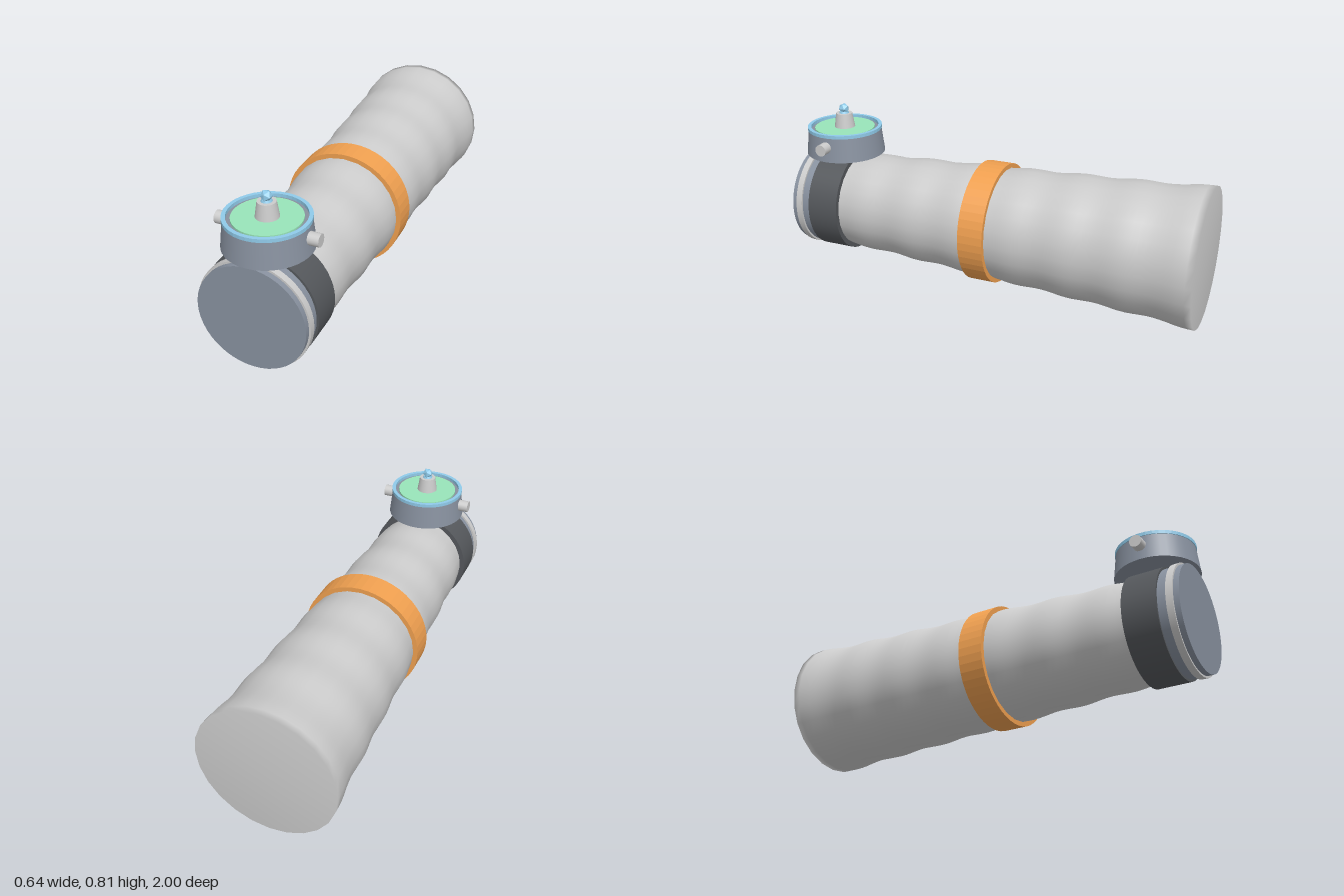
import * as THREE from 'three';

const AXIS_Y = 0.325, DIAL_Z = 0.81;
const material = (color) => new THREE.MeshStandardMaterial({ color });
const GREY = material(0xcccccc);
const STEEL = material(0x88919f);
const DARK = material(0x55585c);
const ORANGE = material(0xf0a050);
const BLUE = material(0x90cbea);
const GREEN = material(0x98e4b9);

export function createModel() {
  const model = new THREE.Group();
  model.name = 'handheldTorch';

  const add = (name, geometry, mat, x, y, z) => {
    const mesh = new THREE.Mesh(geometry, mat);
    mesh.name = name;
    mesh.position.set(x, y, z);
    model.add(mesh);
    return mesh;
  };

  // Round part lying along z, between two depths
  const band = (name, radius, z0, z1, mat, sides = 48) =>
    add(name, new THREE.CylinderGeometry(radius, radius, z1 - z0, sides)
      .rotateX(Math.PI / 2), mat, 0, AXIS_Y, (z0 + z1) / 2);

  // Upright round part on the dial, between two heights
  const upright = (name, rTop, rBottom, y0, y1, mat, sides = 32) =>
    add(name, new THREE.CylinderGeometry(rTop, rBottom, y1 - y0, sides),
      mat, 0, (y0 + y1) / 2, DIAL_Z);

  // Tapered body with gentle waves and a closed, softly shaded back end
  const profile = [new THREE.Vector2(0, -1)];
  for (let i = 0; i <= 56; i++) {
    const z = -1 + 1.76 * i / 56;
    const flare = 0.008 * Math.max(0, (-0.88 - z) / 0.12);
    const wave = 0.004 * Math.cos((z - 0.63) / 0.26 * Math.PI * 2);
    profile.push(new THREE.Vector2(0.231 + (0.73 - z) * 0.048 + wave + flare, z));
  }
  add('body', new THREE.LatheGeometry(profile, 24).rotateX(Math.PI / 2), GREY, 0, AXIS_Y, 0);

  // Clamp around the middle: a rectangular section turned into a ring
  const section = [[0.255, -0.06], [0.286, -0.06], [0.286, 0.06], [0.255, 0.06], [0.255, -0.06]];
  const clamp = new THREE.LatheGeometry(section.map(([r, z]) => new THREE.Vector2(r, z)), 48)
    .rotateX(Math.PI / 2).toNonIndexed();
  clamp.computeVertexNormals();
  add('clampRing', clamp, ORANGE, 0, AXIS_Y, 0.015);

  // Front head
  band('headGrip', 0.25, 0.735, 0.89, DARK);
  band('headCore', 0.24, 0.88, 0.985, STEEL);
  band('headRing', 0.249, 0.93, 0.96, GREY);

  // Dial housing with a raised rim and inlaid face
  upright('dialHousing', 0.177, 0.19, 0.572, 0.69, STEEL, 40);
  const rim = [[0.163, 0], [0.18, 0], [0.18, 0.016], [0.163, 0.016], [0.163, 0]];
  const rimGeometry = new THREE.LatheGeometry(rim.map(([r, y]) => new THREE.Vector2(r, y)), 40)
    .toNonIndexed();
  rimGeometry.computeVertexNormals();
  add('dialRim', rimGeometry, BLUE, 0, 0.689, DIAL_Z);
  upright('dialFace', 0.145, 0.145, 0.685, 0.698, GREEN, 40);

  // Knob topped with a faceted gem
  upright('knob', 0.039, 0.05, 0.695, 0.766, GREY, 24);
  upright('gemCollar', 0.02, 0.025, 0.764, 0.775, BLUE, 12);
  const gemMaterial = material(0x90cbea);
  gemMaterial.flatShading = true;
  add('gem', new THREE.IcosahedronGeometry(0.026), gemMaterial, 0, 0.788, DIAL_Z);

  // Pins on both sides of the dial
  for (const side of [-1, 1]) {
    add(side > 0 ? 'leftPin' : 'rightPin',
      new THREE.CylinderGeometry(0.028, 0.028, 0.08, 20).rotateZ(Math.PI / 2),
      GREY, side * 0.188, 0.642, DIAL_Z);
  }

  return model;
}
